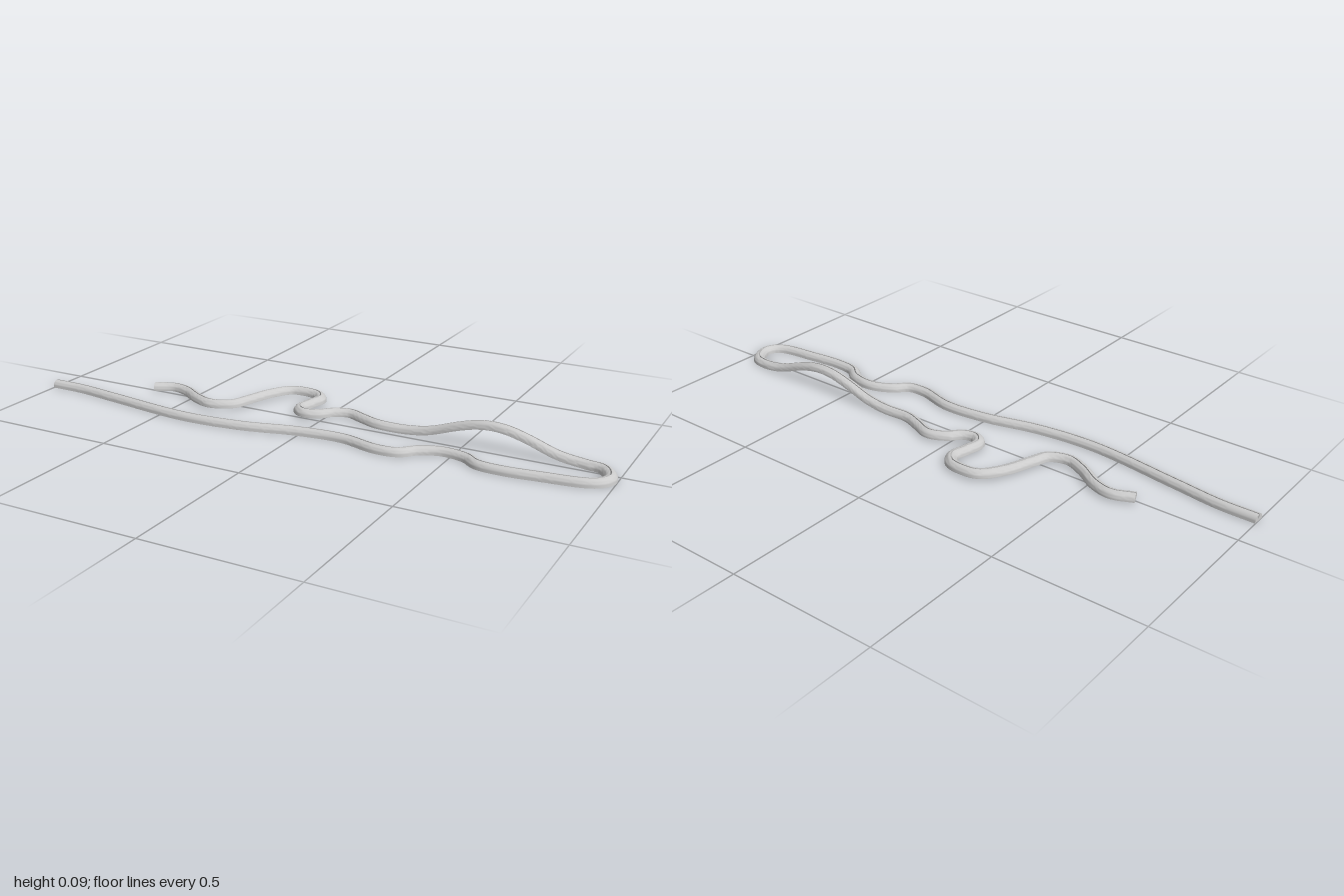
import * as THREE from 'three';
import { toCreasedNormals } from 'three/addons/utils/BufferGeometryUtils.js';

// Course of the track: [x, z] on the ground, in driving order
const LOWER = [
  [-1, 0.128], [-0.877, 0.13], [-0.717, 0.152], [-0.4, 0.193], [-0.19, 0.178], [0, 0.134],
  [0.155, 0.123], [0.283, 0.155], [0.353, 0.148], [0.396, 0.107], [0.47, 0.077], [0.556, 0.091],
  [0.604, 0.125], [0.684, 0.134], [0.8, 0.123], [0.93, 0.104], [0.966, 0.08], [0.979, 0.04],
  [0.946, -0.018], [0.888, -0.032],
];
const STRAIGHT = [0.8, 0.7, 0.64, 0.59, 0.54, 0.48, 0.38, 0.3, 0.2].map((x) => [x, -0.033]);
const UPPER = [
  [0.14, -0.054], [0.075, -0.078], [0.02, -0.058], [-0.02, -0.018], [-0.064, -0.008],
  [-0.096, -0.037], [-0.088, -0.1], [-0.08, -0.15], [-0.108, -0.186], [-0.166, -0.196],
  [-0.214, -0.185], [-0.262, -0.12], [-0.3, -0.015], [-0.32, 0.033], [-0.385, 0.06],
  [-0.455, 0.035], [-0.53, -0.012], [-0.594, -0.027], [-0.663, 0],
];

// Height of the underside: a hill on the straight, then a slight rise
const hill = (x) => (Math.abs(x - 0.59) < 0.29 ? 0.065 * Math.cos(((x - 0.59) / 0.29) * Math.PI / 2) ** 2 : 0);
function upperHeight(x) {
  return x > -0.17
    ? THREE.MathUtils.mapLinear(x, 0.2, -0.17, 0.005, 0.009)
    : THREE.MathUtils.mapLinear(x, -0.17, -0.663, 0.009, 0.005);
}

// Half-round cross-section with a narrow slot along the crown, counter-clockwise
function trackSection() {
  const r = 0.021, base = 0.003, slot = 0.002, floor = 0.006, n = 6;
  const start = Math.acos(slot / r);
  const right = [new THREE.Vector2(r, 0)];
  for (let i = 0; i <= n; i++) {
    const a = (start * i) / n;
    right.push(new THREE.Vector2(r * Math.cos(a), base + r * Math.sin(a)));
  }
  right.push(new THREE.Vector2(slot, floor));
  const left = right.map((p) => new THREE.Vector2(-p.x, p.y)).reverse();
  return [...right, ...left];
}

// Sweep a section along a curve, keeping it level from side to side
function sweep(curve, section, steps) {
  const pos = [], index = [], n = section.length;
  const up = new THREE.Vector3(0, 1, 0);
  for (let i = 0; i <= steps; i++) {
    const p = curve.getPointAt(i / steps);
    const t = curve.getTangentAt(i / steps);
    const side = new THREE.Vector3().crossVectors(t, up).normalize();
    const top = new THREE.Vector3().crossVectors(side, t);
    for (const s of section) {
      const v = p.clone().addScaledVector(side, s.x).addScaledVector(top, s.y);
      pos.push(v.x, v.y, v.z);
    }
    if (i === steps) break;
    for (let k = 0; k < n; k++) {
      const a = i * n + k, b = i * n + ((k + 1) % n);
      index.push(a, a + n, b, b, a + n, b + n);
    }
  }
  // End caps
  for (const [a, b, c] of THREE.ShapeUtils.triangulateShape(section, [])) {
    const e = steps * n;
    index.push(a, b, c, e + a, e + c, e + b);
  }
  const geo = new THREE.BufferGeometry();
  geo.setAttribute('position', new THREE.Float32BufferAttribute(pos, 3));
  geo.setIndex(index);
  return toCreasedNormals(geo, 0.6);
}

export function createModel() {
  const group = new THREE.Group();
  group.name = 'slottedTrack';
  const points = [
    ...LOWER.map(([x, z]) => new THREE.Vector3(x, 0, z)),
    ...STRAIGHT.map(([x, z]) => new THREE.Vector3(x, hill(x) + (0.9 - x) * 0.007, z)),
    ...UPPER.map(([x, z]) => new THREE.Vector3(x, upperHeight(x), z)),
  ];
  const curve = new THREE.CatmullRomCurve3(points, false, 'centripetal');
  curve.arcLengthDivisions = 1500;
  const track = new THREE.Mesh(
    sweep(curve, trackSection(), 360),
    new THREE.MeshStandardMaterial({ color: 0xcccccc }),
  );
  track.name = 'track';
  group.add(track);
  return group;
}
